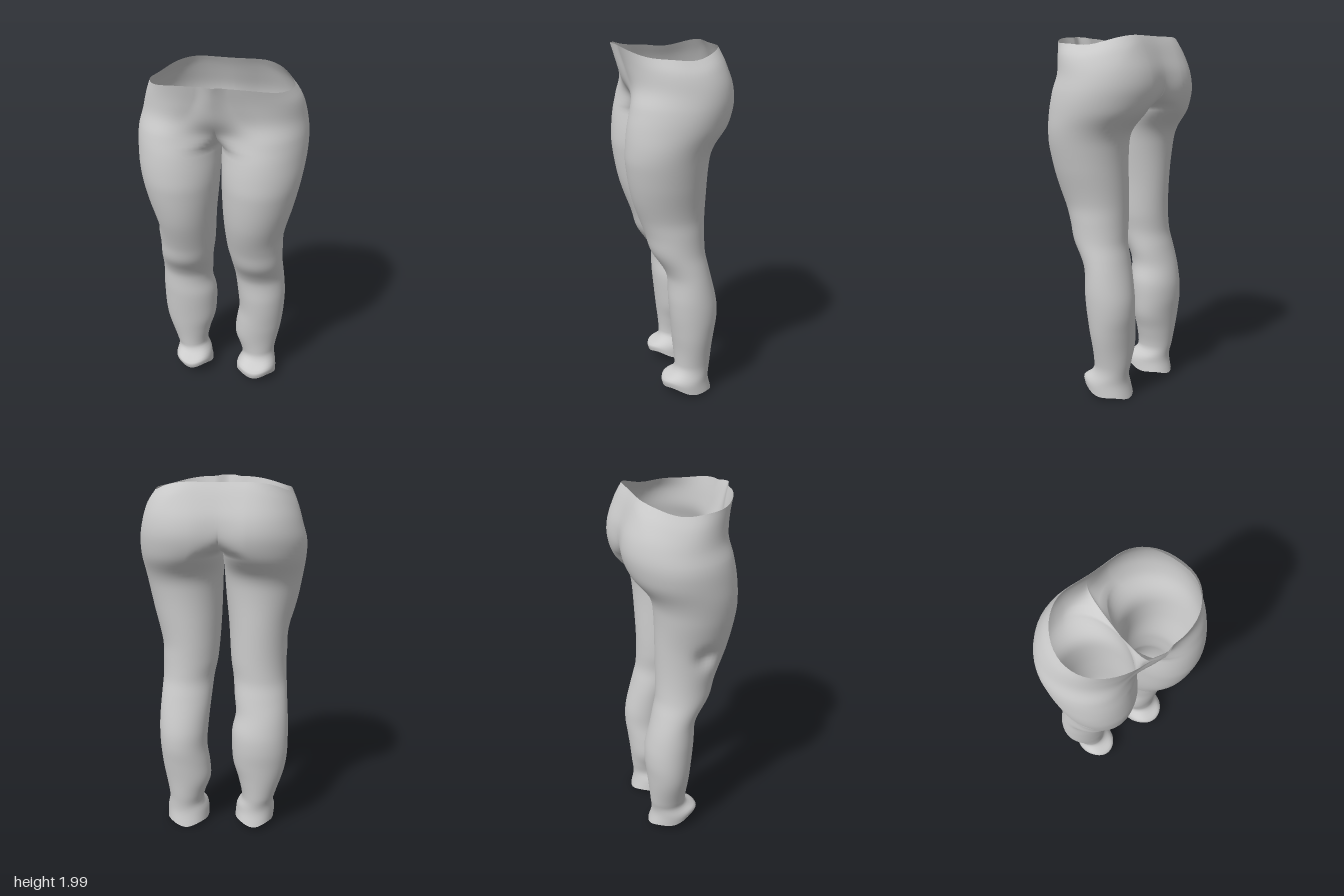
import * as THREE from 'three';
import { mergeVertices } from 'three/addons/utils/BufferGeometryUtils.js';

const CROTCH = 1.62, ROWS = 100, ARC = 12;

// Smooth curve through [height, value] keys, listed from bottom to top
function track(keys) {
  const slope = (i) => {
    const a = keys[Math.max(i - 1, 0)], b = keys[Math.min(i + 1, keys.length - 1)];
    return (b[1] - a[1]) / (b[0] - a[0]);
  };
  return (y) => {
    if (y <= keys[0][0]) return keys[0][1];
    if (y >= keys[keys.length - 1][0]) return keys[keys.length - 1][1];
    let i = 0;
    while (y > keys[i + 1][0]) i++;
    const [y0, v0] = keys[i], [y1, v1] = keys[i + 1], h = y1 - y0, t = (y - y0) / h;
    const t2 = t * t, t3 = t2 * t;
    return (2 * t3 - 3 * t2 + 1) * v0 + (t3 - 2 * t2 + t) * h * slope(i)
      + (3 * t2 - 2 * t3) * v1 + (t3 - t2) * h * slope(i + 1);
  };
}

// Depth of the front and back silhouettes
const front = track([[0, 0.08], [0.06, 0.085], [0.12, 0.03], [0.18, 0.01], [0.4, 0.03], [0.6, 0.05],
  [0.74, 0.055], [0.8, 0.08], [0.9, 0.145], [1, 0.175], [1.2, 0.245], [1.4, 0.28], [1.5, 0.28],
  [1.6, 0.27], [1.7, 0.25], [1.8, 0.235], [1.9, 0.255], [2, 0.285]]);
const back = track([[0, -0.205], [0.1, -0.185], [0.2, -0.195], [0.4, -0.215], [0.5, -0.225], [0.6, -0.22],
  [0.8, -0.175], [0.9, -0.155], [1.2, -0.155], [1.42, -0.165], [1.5, -0.19], [1.6, -0.27], [1.7, -0.305],
  [1.8, -0.3], [1.9, -0.265], [2, -0.22]]);

// Distance of the centre seams from mid depth; both close up at the crotch
const seamFront = track([[1.62, 0], [1.66, 0.13], [1.7, 0.2], [1.8, 0.275], [1.9, 0.285], [2, 0.28]]);
const seamBack = track([[1.62, 0], [1.64, 0.15], [1.66, 0.21], [1.7, 0.25], [1.8, 0.255], [2, 0.25]]);

// Outer and inner edges of each leg
const legs = {
  left: {
    side: 1, hem: 0.01,
    outer: track([[0, 0.325], [0.07, 0.325], [0.15, 0.31], [0.2, 0.31], [0.4, 0.345], [0.6, 0.36], [0.8, 0.35],
      [0.9, 0.345], [1, 0.345], [1.1, 0.35], [1.3, 0.4], [1.5, 0.44], [1.65, 0.452], [1.8, 0.435], [1.92, 0.41], [2, 0.37]]),
    inner: track([[0, 0.08], [0.07, 0.085], [0.13, 0.11], [0.2, 0.1], [0.3, 0.065], [0.4, 0.07], [0.5, 0.085],
      [0.6, 0.08], [0.8, 0.06], [0.9, 0.05], [1, 0.03], [1.2, 0.015], [1.4, 0.008], [1.6, 0]]),
  },
  right: {
    side: -1, hem: 0.03,
    outer: track([[0, 0.305], [0.07, 0.31], [0.15, 0.3], [0.2, 0.31], [0.4, 0.37], [0.6, 0.38], [0.8, 0.37],
      [1, 0.36], [1.2, 0.38], [1.4, 0.425], [1.65, 0.457], [1.8, 0.43], [1.92, 0.4], [2, 0.37]]),
    inner: track([[0, 0.08], [0.1, 0.09], [0.18, 0.12], [0.3, 0.1], [0.4, 0.07], [0.5, 0.06], [0.6, 0.06],
      [0.7, 0.08], [0.8, 0.07], [0.9, 0.06], [1, 0.045], [1.2, 0.03], [1.4, 0.01], [1.6, 0]]),
  },
};

// One cross-section, running from the front seam round the outside to the back seam
function section(leg, y) {
  const W = leg.outer(y), I = y >= 1.6 ? 0 : Math.max(leg.inner(y), 0);
  const F = front(y), B = back(y), mid = (F + B) / 2;
  const above = y > CROTCH;
  const sf = above ? mid + seamFront(y) : mid;
  const sb = above ? mid - seamBack(y) : mid;
  const upper = THREE.MathUtils.smoothstep(y, 1.62, 1.78);
  const centre = (W + I) / 2;
  const xf = THREE.MathUtils.lerp(centre, 0.08, THREE.MathUtils.smoothstep(y, 1.7, 2));
  const xb = THREE.MathUtils.lerp(centre, 0.15, THREE.MathUtils.smoothstep(y, 1.48, 1.68));
  const pts = [];
  // inner quarter: round on the legs, a soft valley over the hips
  const innerPoint = (t, xl, peak, seam) => {
    const u = Math.sin(t * Math.PI / 2);
    const g = THREE.MathUtils.lerp(1 - Math.cos(t * Math.PI / 2), u * u * (3 - 2 * u), upper);
    pts.push([xl - (xl - I) * u, peak - (peak - seam) * g]);
  };
  const outerPoint = (t, xl, peak) => {
    const a = t * Math.PI / 2;
    pts.push([xl + (W - xl) * Math.sin(a), mid + (peak - mid) * Math.cos(a)]);
  };
  for (let i = 0; i < ARC; i++) innerPoint(1 - i / ARC, xf, F, sf);
  for (let i = 0; i < ARC; i++) outerPoint(i / ARC, xf, F);
  for (let i = 0; i < ARC; i++) outerPoint(1 - i / ARC, xb, B);
  for (let i = 0; i <= ARC; i++) innerPoint(i / ARC, xb, B, sb);
  pts[0][0] = pts[pts.length - 1][0] = I;
  return pts;
}

function legGeometry(leg) {
  const positions = [], indices = [], cols = 4 * ARC + 1;
  for (let r = 0; r <= ROWS; r++) {
    const level = r / 50;
    section(leg, level).forEach(([px, z], c) => {
      let x = px, y = level;
      // wavy waist edge, low at the sides
      if (y > 1.7) {
        const rim = 1.942 + Math.min(0.055, 0.62 * z * z + (z < 0 ? 0.35 * z * z : 0)) + 0.004 * Math.sin(24 * z);
        y = 1.7 + (y - 1.7) * (rim - 1.7) / 0.3;
      }
      // ragged ankle edge, higher at the front
      if (y < 0.2) {
        const a = c / (cols - 1) * Math.PI * 2;
        const rim = leg.hem + 0.045 * THREE.MathUtils.smoothstep(z, -0.2, 0.08)
          + 0.008 * (1 - Math.cos(4 * a));
        y = rim + y * (0.2 - rim) / 0.2;
      }
      // worn dent on the outside of the right thigh
      if (leg.side < 0 && x > 0.3) {
        x -= 0.035 * Math.exp(-(((y - 1.17) / 0.06) ** 2) - ((z - 0.08) / 0.06) ** 2);
      }
      positions.push(x * leg.side, y, z);
    });
  }
  for (let r = 0; r < ROWS; r++) {
    for (let c = 0; c < cols - 1; c++) {
      const a = r * cols + c, b = a + 1, d = a + cols, e = d + 1;
      if (leg.side > 0) indices.push(a, b, e, a, e, d);
      else indices.push(a, e, b, a, d, e);
    }
  }
  let geo = new THREE.BufferGeometry();
  geo.setAttribute('position', new THREE.Float32BufferAttribute(positions, 3));
  geo.setIndex(indices);
  geo = mergeVertices(geo, 1e-5);
  geo.computeVertexNormals();
  // blend the shading across the centre seam
  const p = geo.attributes.position, n = geo.attributes.normal, v = new THREE.Vector3();
  for (let i = 0; i < p.count; i++) {
    if (Math.abs(p.getX(i)) > 1e-4 || p.getY(i) < CROTCH + 0.005) continue;
    v.set(0, n.getY(i), n.getZ(i)).normalize();
    n.setXYZ(i, v.x, v.y, v.z);
  }
  return geo;
}

export function createModel() {
  const group = new THREE.Group();
  group.name = 'trousers';
  const material = new THREE.MeshStandardMaterial({ color: 0xcccccc, side: THREE.DoubleSide });
  for (const [name, leg] of Object.entries(legs)) {
    const mesh = new THREE.Mesh(legGeometry(leg), material);
    mesh.name = name + 'HipAndLeg';
    group.add(mesh);
  }
  return group;
}
